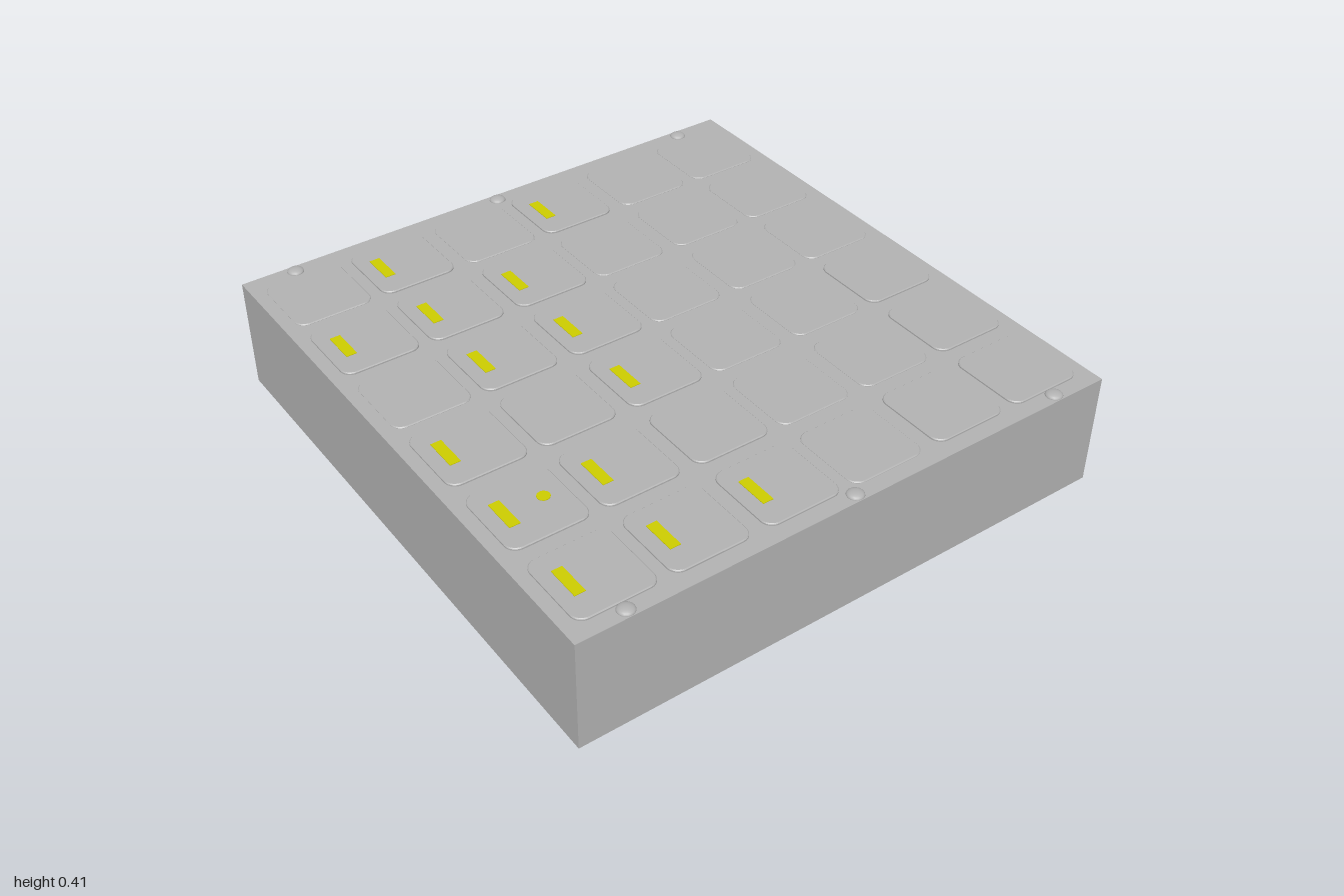
import * as THREE from 'three';

export function createModel() {
  const model = new THREE.Group();
  model.name = 'buttonPanel';
  const grey = new THREE.MeshStandardMaterial({ color: 0xb2b2b2, side: THREE.DoubleSide });
  grey.name = 'panel grey';
  const yellow = new THREE.MeshStandardMaterial({ color: 0xcccc00 });
  yellow.name = 'marker yellow';

  const W = 1.93, H = 0.396, D = 2;
  const add = (name, geometry, material, x, y, z, parent = model) => {
    const mesh = new THREE.Mesh(geometry, material);
    mesh.name = name;
    mesh.position.set(x, y, z);
    parent.add(mesh);
    return mesh;
  };

  // Thin sheet housing, open underneath
  const housing = new THREE.Group();
  housing.name = 'housing';
  model.add(housing);
  add('topPlate', new THREE.PlaneGeometry(W, D).rotateX(-Math.PI / 2), grey, 0, H, 0, housing);
  for (const s of [1, -1]) {
    const turn = s > 0 ? 0 : Math.PI;
    add(s > 0 ? 'frontWall' : 'backWall',
      new THREE.PlaneGeometry(W, H).rotateY(turn), grey, 0, H / 2, s * D / 2, housing);
    add(s > 0 ? 'leftWall' : 'rightWall',
      new THREE.PlaneGeometry(D, H).rotateY(s * Math.PI / 2), grey, s * W / 2, H / 2, 0, housing);
  }

  // Rounded square button cap with a small chamfer, base at y = 0
  const capGeometry = (height) => {
    const bevel = 0.003, a = 0.135 - bevel, r = 0.035;
    const s = new THREE.Shape();
    s.moveTo(-a + r, -a);
    s.lineTo(a - r, -a);
    s.absarc(a - r, -a + r, r, -Math.PI / 2, 0);
    s.absarc(a - r, a - r, r, 0, Math.PI / 2);
    s.absarc(-a + r, a - r, r, Math.PI / 2, Math.PI);
    s.absarc(-a + r, -a + r, r, Math.PI, Math.PI * 1.5);
    return new THREE.ExtrudeGeometry(s, {
      depth: height - bevel, bevelEnabled: true, bevelThickness: bevel,
      bevelSize: bevel, bevelSegments: 1, curveSegments: 5,
    }).rotateX(-Math.PI / 2);
  };
  const lowCap = capGeometry(0.004), highCap = capGeometry(0.008);
  const xs = [-0.785, -0.475, -0.155, 0.155, 0.475, 0.785];
  const zs = [-0.8, -0.48, -0.16, 0.16, 0.485, 0.81];

  // One row per z from back to front: m = marked, r = raised, . = flat
  const layout = ['.m.m..', 'mmm...', '.mm...', 'mrm..r', 'mmr..r', 'mmm.rr'];
  const marker = new THREE.BoxGeometry(0.036, 0.003, 0.115);
  layout.forEach((row, j) => [...row].forEach((kind, i) => {
    const cap = kind === '.' ? lowCap : highCap;
    add('button', cap, grey, xs[i], H, zs[j]);
    if (kind === 'm') add('marker', marker, yellow, xs[i] - 0.07, H + 0.0085, zs[j] - 0.008);
  }));
  // Round indicator on one button
  add('dotMarker', new THREE.CylinderGeometry(0.021, 0.021, 0.003, 12), yellow, -0.725, H + 0.0085, 0.475);

  // Domed screws along the back and front edges
  const dome = new THREE.SphereGeometry(0.028, 16, 6, 0, Math.PI * 2, 0, Math.PI / 2).scale(1, 0.45, 1);
  for (const z of [-0.97, 0.97]) {
    for (const x of [-0.785, 0, 0.788]) {
      add('screw', dome, grey, x, H, z);
    }
  }
  return model;
}
